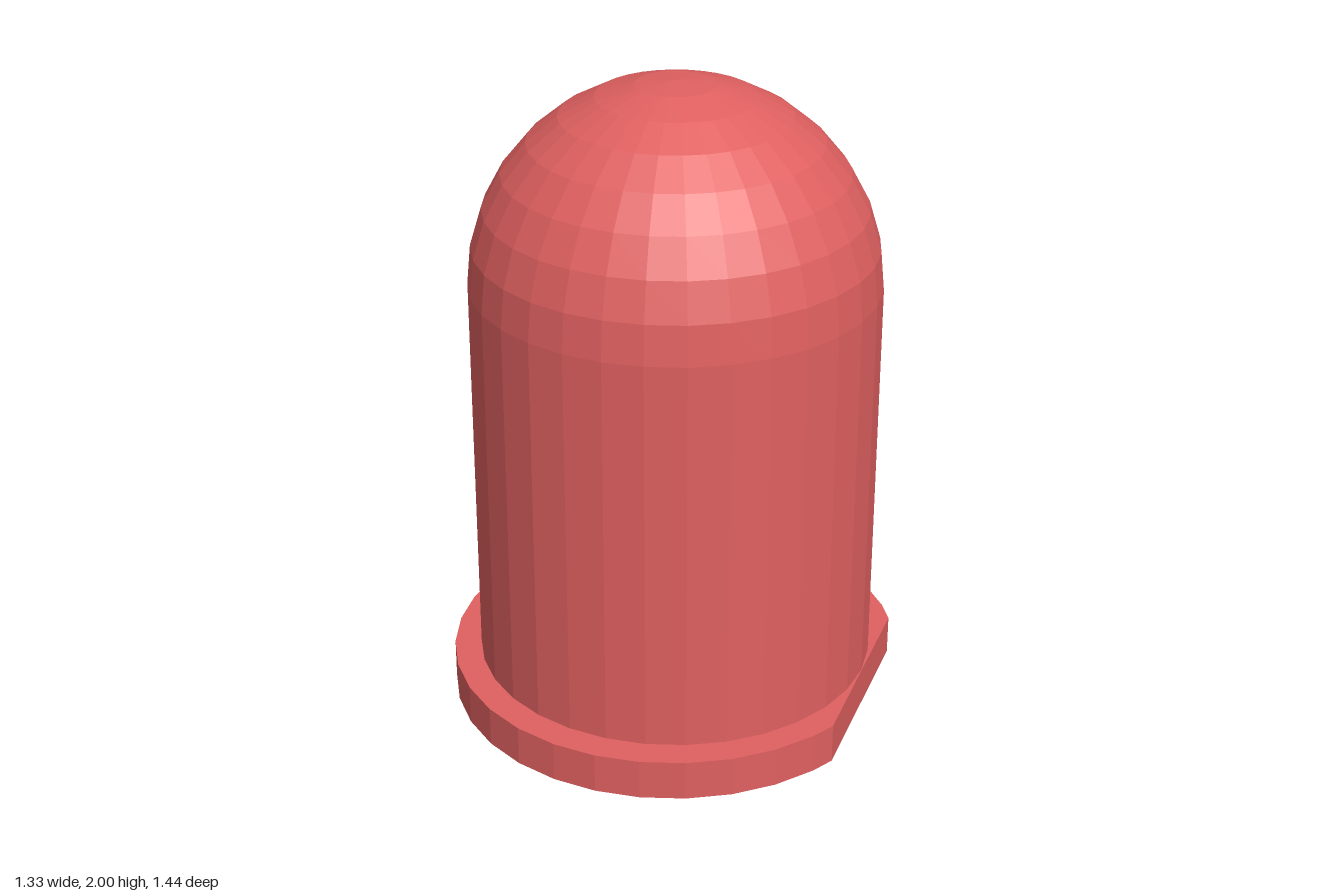
import * as THREE from 'three';

const SIDES = 32, CENTRE = 0.04, FLAT_X = 0.665;
const BODY_R = 0.623, FLANGE_H = 0.127, DOME_Y = 2 - BODY_R;

// Straight tube topped by a faceted hemisphere
function bodyGeometry() {
  const profile = [new THREE.Vector2(BODY_R, FLANGE_H - 0.02)];
  const rings = 8;
  for (let i = 0; i <= rings; i++) {
    const a = (i / rings) * Math.PI / 2;
    profile.push(new THREE.Vector2(i === rings ? 0 : BODY_R * Math.cos(a), DOME_Y + BODY_R * Math.sin(a)));
  }
  return new THREE.LatheGeometry(profile, SIDES).translate(CENTRE, 0, 0);
}

// Round flange, cut flat on the +x side
function flangeGeometry() {
  const rx = 0.705, rz = 0.718, cutZ = 0.33;
  const points = [new THREE.Vector2(FLAT_X, cutZ)];
  for (let i = 0; i < SIDES; i++) {
    const a = (i / SIDES) * Math.PI * 2;
    const x = CENTRE + rx * Math.cos(a);
    if (x < FLAT_X) points.push(new THREE.Vector2(x, rz * Math.sin(a)));
  }
  points.push(new THREE.Vector2(FLAT_X, -cutZ));
  return new THREE.ExtrudeGeometry(new THREE.Shape(points), { depth: FLANGE_H, bevelEnabled: false })
    .rotateX(-Math.PI / 2);
}

export function createModel() {
  const model = new THREE.Group();
  model.name = 'domedLamp';

  const red = new THREE.MeshStandardMaterial({ color: 0xe06060, flatShading: true });
  red.name = 'lensRed';

  const parts = { domedBody: bodyGeometry(), baseFlange: flangeGeometry() };
  for (const [name, geometry] of Object.entries(parts)) {
    const mesh = new THREE.Mesh(geometry, red);
    mesh.name = name;
    model.add(mesh);
  }
  return model;
}
